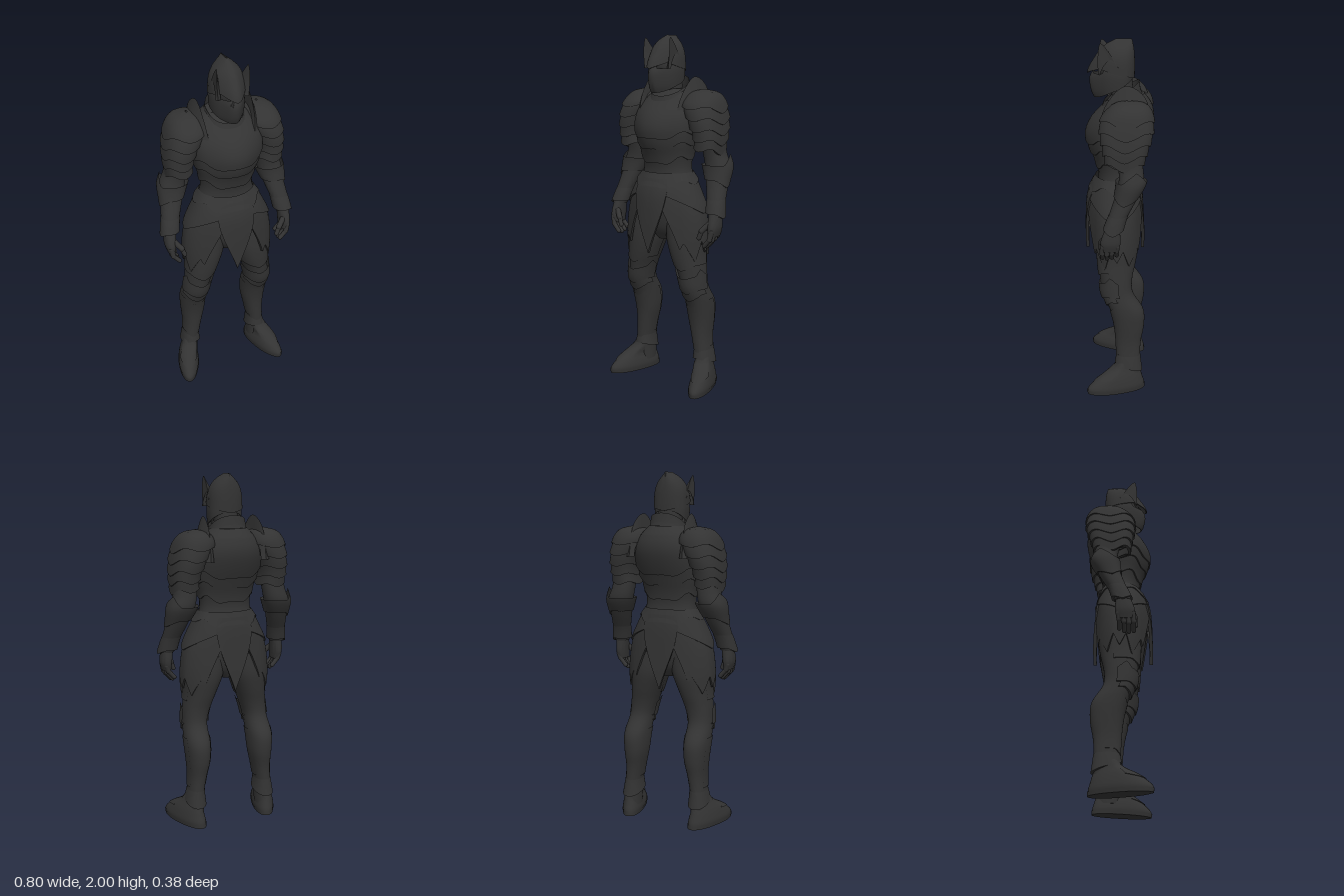
import * as THREE from 'three';
import { toCreasedNormals } from 'three/addons/utils/BufferGeometryUtils.js';

const PI = Math.PI;
const steel = new THREE.MeshStandardMaterial({ color: 0x333333, side: THREE.DoubleSide });
steel.name = 'dark steel';

// Cross-sections, bottom to top: [y, centreX, centreZ, halfWidth, frontDepth, backDepth, keel]
const TORSO = [[0.86, 0, 0, 0.05, 0.06, 0.06, 0], [0.93, 0, 0, 0.15, 0.1, 0.1, 0], [1.06, 0, 0, 0.185, 0.12, 0.12, 0],
  [1.18, 0, 0, 0.17, 0.12, 0.11, 0], [1.27, 0, 0, 0.148, 0.11, 0.09, 0.005], [1.34, 0, 0, 0.153, 0.12, 0.1, 0.012],
  [1.42, 0, 0, 0.175, 0.145, 0.13, 0.02], [1.5, 0, 0, 0.19, 0.155, 0.165, 0.022], [1.58, 0, -0.01, 0.19, 0.14, 0.178, 0.015],
  [1.65, 0, -0.03, 0.16, 0.11, 0.15, 0], [1.71, 0, -0.04, 0.1, 0.07, 0.1, 0]];
const SKIRT = [[0.75, 0, 0.01, 0.255, 0.14, 0.14, 0.022], [0.9, 0, 0.01, 0.262, 0.145, 0.145, 0.022], [1.05, 0, 0.01, 0.243, 0.145, 0.14, 0.022],
  [1.15, 0, 0.01, 0.202, 0.14, 0.135, 0.018], [1.25, 0, 0, 0.153, 0.12, 0.108, 0.01]];
const LEG = [[0.06, 0.22, -0.065, 0.045, 0.06, 0.065, 0], [0.2, 0.216, -0.06, 0.045, 0.065, 0.068, 0], [0.3, 0.205, -0.06, 0.05, 0.07, 0.073, 0],
  [0.4, 0.198, -0.06, 0.064, 0.08, 0.09, 0], [0.5, 0.198, -0.045, 0.07, 0.09, 0.1, 0], [0.6, 0.193, 0.003, 0.068, 0.08, 0.088, 0.005],
  [0.68, 0.18, 0.01, 0.076, 0.085, 0.09, 0.006], [0.78, 0.156, 0.01, 0.09, 0.105, 0.11, 0], [0.88, 0.136, 0, 0.108, 0.12, 0.115, 0],
  [1.0, 0.12, 0, 0.11, 0.11, 0.11, 0]];
const FOOT = [[0, 0, 0, 0.056, 0.165, 0.16, 0.012], [0.03, 0, 0, 0.062, 0.165, 0.16, 0.015], [0.065, 0, 0, 0.058, 0.135, 0.15, 0.01],
  [0.1, 0, 0, 0.05, 0.085, 0.14, 0.01], [0.14, -0.01, -0.025, 0.046, 0.05, 0.105, 0], [0.18, -0.015, -0.045, 0.042, 0.04, 0.075, 0]];
const ARM = [[1.03, 0.347, 0.025, 0.04, 0.042, 0.042, 0], [1.1, 0.333, 0.003, 0.049, 0.048, 0.05, 0], [1.2, 0.309, -0.04, 0.06, 0.058, 0.06, 0],
  [1.29, 0.291, -0.072, 0.071, 0.066, 0.066, 0], [1.36, 0.272, -0.07, 0.064, 0.066, 0.066, 0], [1.48, 0.26, -0.05, 0.065, 0.07, 0.07, 0],
  [1.62, 0.235, -0.05, 0.07, 0.08, 0.08, 0]];
const PALM = [[0.92, 0.346, 0.04, 0.022, 0.046, 0.046, 0], [0.97, 0.35, 0.036, 0.031, 0.054, 0.054, 0], [1.06, 0.343, 0.024, 0.032, 0.036, 0.036, 0]];
const PAULDRON = [[1.36, 0.262, -0.035, 0.06, 0.09, 0.09, 0], [1.45, 0.263, -0.04, 0.069, 0.112, 0.112, 0], [1.54, 0.245, -0.045, 0.084, 0.133, 0.133, 0],
  [1.62, 0.215, -0.05, 0.1, 0.132, 0.132, 0], [1.665, 0.207, -0.055, 0.09, 0.105, 0.115, 0], [1.695, 0.203, -0.06, 0.06, 0.07, 0.08, 0], [1.708, 0.2, -0.06, 0.005, 0.01, 0.01, 0]];
const COLLAR = [[1.58, 0, -0.03, 0.15, 0.135, 0.13, 0], [1.7, 0, -0.03, 0.104, 0.105, 0.09, 0], [1.8, 0, -0.03, 0.1, 0.1, 0.08, 0]];
const NECK = [[1.6, 0, -0.03, 0.07, 0.06, 0.06, 0], [1.82, 0, -0.01, 0.062, 0.06, 0.06, 0]];
const BOWL = [[1.76, 0, 0, 0.095, 0.13, 0.082, 0.03], [1.83, 0, 0, 0.094, 0.13, 0.085, 0.038], [1.9, 0, 0, 0.088, 0.105, 0.085, 0.026],
  [1.95, 0, 0, 0.066, 0.08, 0.081, 0.014], [1.985, 0, 0, 0.028, 0.045, 0.074, 0.002], [2.0, 0, -0.01, 0.003, 0.025, 0.06, 0]];
const MASK = [[1.68, 0, 0, 0.076, 0.1, 0.07, 0.03], [1.72, 0, 0, 0.088, 0.115, 0.074, 0.035], [1.8, 0, 0, 0.094, 0.12, 0.076, 0.038], [1.84, 0, 0, 0.09, 0.11, 0.076, 0.02],
  [1.88, 0, 0, 0.08, 0.09, 0.076, 0.01]];
const FACE = [[1.74, 0, 0, 0.06, 0.07, 0.06, 0], [1.84, 0, 0, 0.08, 0.108, 0.07, 0], [1.92, 0, 0, 0.06, 0.07, 0.06, 0]];

// Point on a body surface at height y and angle a (0 = front, PI/2 = +x)
function sample(S, y, a, off = 0) {
  const yy = THREE.MathUtils.clamp(y, S[0][0], S.at(-1)[0]);
  let i = 0;
  while (i < S.length - 2 && yy > S[i + 1][0]) i++;
  const A = S[i], B = S[i + 1], P = S[Math.max(i - 1, 0)], Q = S[Math.min(i + 2, S.length - 1)];
  const h = B[0] - A[0], t = (yy - A[0]) / h, t2 = t * t, t3 = t2 * t;
  const [cx, cz, rx, zf, zb, keel] = [1, 2, 3, 4, 5, 6].map(k =>
    (2 * t3 - 3 * t2 + 1) * A[k] + (3 * t2 - 2 * t3) * B[k] +
    h * ((t3 - 2 * t2 + t) * (B[k] - P[k]) / (B[0] - P[0]) + (t3 - t2) * (Q[k] - A[k]) / (Q[0] - A[0])));
  const e = v => Math.sign(v) * Math.abs(v) ** 0.9, c = Math.cos(a);
  return [cx + (rx + off) * e(Math.sin(a)), y, cz + ((c > 0 ? zf : zb) + off) * e(c) + keel * Math.max(0, c) ** 8];
}

// Smooth grid surface from fn(u, v, row)
function grid(nu, nv, fn) {
  const pos = [], idx = [];
  for (let j = 0; j <= nv; j++) for (let i = 0; i <= nu; i++) pos.push(...fn(i / nu, j / nv, j));
  for (let j = 0; j < nv; j++) for (let i = 0; i < nu; i++) {
    const p = j * (nu + 1) + i, q = p + nu + 1;
    idx.push(p, q, p + 1, p + 1, q, q + 1);
  }
  const g = new THREE.BufferGeometry();
  g.setAttribute('position', new THREE.Float32BufferAttribute(pos, 3));
  g.setIndex(idx);
  return toCreasedNormals(g, 0.75);
}

function add(parent, name, geometry) {
  const m = new THREE.Mesh(geometry, steel);
  m.name = name;
  parent.add(m);
  return m;
}

// Closed body through all sections of S
function loft(parent, name, S, rows = 30) {
  const lo = S[0][0], hi = S.at(-1)[0];
  return add(parent, name, grid(36, rows + 2, (u, v, j) => {
    const y = hi + (lo - hi) * THREE.MathUtils.clamp((j - 1) / rows, 0, 1);
    if (j > 0 && j < rows + 2) return sample(S, y, u * 2 * PI);
    const f = sample(S, y, 0), b = sample(S, y, PI);
    return [f[0], y, (f[2] + b[2]) / 2];
  }));
}

// Armour plate over S between two angles, edges given as functions of angle, with a turned-in lower rim
function plate(parent, name, S, a0, a1, top, bottom, o0 = 0.002, o1 = 0.014, nu = 40) {
  const T = typeof top === 'function' ? top : () => top, B = typeof bottom === 'function' ? bottom : () => bottom;
  const n = 8;
  return add(parent, name, grid(nu, n + 1, (u, v, j) => {
    const a = a0 + (a1 - a0) * u, t = Math.min(j / n, 1), y = T(a) + (B(a) - T(a)) * t;
    return sample(S, y, a, j > n ? -0.004 : o0 + (o1 - o0) * t);
  }));
}

// Straight interpolation through [angle, height] points
const edge = pts => a => {
  let i = 0;
  while (i < pts.length - 2 && a > pts[i + 1][0]) i++;
  return THREE.MathUtils.mapLinear(a, pts[i][0], pts[i + 1][0], pts[i][1], pts[i + 1][1]);
};
const tip = (a, centre, half) => Math.max(0, 1 - Math.abs(a - centre) / half);

// Wedge rising from a root curve to a sharp ridge curve
function blade(parent, name, root, ridge, w) {
  const curve = pts => new THREE.CatmullRomCurve3(pts.map(p => new THREE.Vector3(...p)));
  const R = curve(root), E = curve(ridge);
  add(parent, name, grid(24, 2, (u, v, j) => {
    const p = (j === 1 ? E : R).getPoint(u);
    return [p.x + (j - 1) * w, p.y, p.z];
  }));
}

function bone(parent, name, p, q, r) {
  const a = new THREE.Vector3(...p), b = new THREE.Vector3(...q), d = b.clone().sub(a);
  const m = add(parent, name, new THREE.CapsuleGeometry(r, d.length(), 4, 10));
  m.position.copy(a).add(b).multiplyScalar(0.5);
  m.quaternion.setFromUnitVectors(new THREE.Vector3(0, 1, 0), d.normalize());
}

function buildSide() {
  const s = new THREE.Group();
  // Leg armour
  loft(s, 'leg', LEG, 40);
  plate(s, 'thighPlate', LEG, -1.6, 1.9, 0.9, a => 0.74 - 0.035 * tip(a, 0, 1), 0.002, 0.007);
  plate(s, 'kneeCop', LEG, -1.7, 1.7, a => 0.68 - 0.02 * tip(a, 0, 0.8) + 0.04 * tip(Math.abs(a), 1.3, 0.4), a => 0.6 - 0.03 * tip(a, 0, 1), 0.011, 0.014);
  plate(s, 'kneeLame', LEG, -1.5, 1.5, 0.62, a => 0.57 - 0.05 * tip(a, 0, 1.1), 0.004, 0.011);
  plate(s, 'greave', LEG, -1.9, 1.9, a => 0.53 - 0.05 * tip(a, 0, 1), a => 0.24 - 0.04 * tip(a, 0, 1), 0.005, 0.005);
  plate(s, 'ankleGuard', LEG, 0, 2 * PI, 0.22, a => 0.145 + 0.025 * Math.cos(a), 0.002, 0.014);
  // Foot
  const foot = new THREE.Group();
  foot.name = 'foot';
  foot.position.set(0.252, 0.003, 0);
  foot.rotation.y = 0.3;
  loft(foot, 'boot', FOOT, 20);
  plate(foot, 'instepPlate', FOOT, -1.1, 1.1, 0.15, a => 0.07 + 0.02 * Math.abs(a), 0.003, 0.007);
  plate(foot, 'sole', FOOT, 0, 2 * PI, 0.022, 0, 0.003, 0.004);
  s.add(foot);
  // Arm and hand
  loft(s, 'arm', ARM, 36);
  plate(s, 'elbowGuard', ARM, 0, 2 * PI, a => 1.3 + 0.06 * tip(a, 1.9, 0.9), a => 1.22 - 0.04 * tip(a, 1.6, 1.2), 0.018, 0.008);
  plate(s, 'wristCuff', ARM, 0, 2 * PI, 1.12, a => 1.045 - 0.025 * tip(a, 1.6, 1), 0.001, 0.013);
  loft(s, 'palm', PALM, 14);
  for (let i = 0; i < 4; i++) {
    const z = 0.078 - 0.026 * i, drop = [0.005, 0, 0.006, 0.02][i];
    bone(s, 'fingerBase', [0.356, 0.95, z], [0.346, 0.9 + drop, z + 0.004], 0.0145);
    bone(s, 'fingerTip', [0.346, 0.9 + drop, z + 0.004], [0.312, 0.862 + drop, z + 0.004], 0.0125);
  }
  bone(s, 'thumbBase', [0.333, 0.99, 0.065], [0.298, 0.95, 0.088], 0.016);
  bone(s, 'thumbTip', [0.298, 0.95, 0.088], [0.283, 0.91, 0.092], 0.013);
  // Shoulder armour
  const scallop = b => a => b - 0.022 * tip(a, PI / 2, 0.6) - 0.008 * Math.cos(4 * a);
  plate(s, 'shoulderDome', PAULDRON, 0, 2 * PI, 1.708, scallop(1.61), 0, 0.012, 48);
  [[1.635, 1.55], [1.57, 1.49], [1.51, 1.435], [1.45, 1.385]].forEach(([t, b]) =>
    plate(s, 'shoulderLame', PAULDRON, 0, 2 * PI, t, scallop(b), 0, 0.013, 48));
  blade(s, 'shoulderFin', [[0.125, 1.54, 0.1], [0.15, 1.62, 0.04], [0.165, 1.66, -0.06], [0.165, 1.62, -0.14], [0.165, 1.54, -0.17]],
    [[0.125, 1.54, 0.11], [0.14, 1.68, 0.06], [0.15, 1.775, -0.04], [0.16, 1.72, -0.14], [0.165, 1.54, -0.185]], 0.024);
  // Hip plates with jagged hems
  plate(s, 'tasset', SKIRT, 0.2, 2.94, 1.2, edge([[0.2, 1.12], [0.7, 0.83], [0.8, 0.87], [1.18, 0.76], [1.4, 0.88], [1.6, 0.81],
    [1.8, 0.88], [2.05, 0.78], [2.4, 0.88], [2.5, 0.85], [2.94, 1.1]]), 0, 0.007, 96);
  plate(s, 'hipPlate', SKIRT, 0.4, 2.74, a => 1.24 - 0.04 * Math.abs(a - 1.57), a => 1.03 + 0.09 * Math.abs(a - 1.57), 0.004, 0.012);
  // Helmet horn
  blade(s, 'helmetHorn', [[0.08, 1.82, 0.1], [0.076, 1.87, 0.075], [0.074, 1.9, 0.04], [0.082, 1.86, 0.0]],
    [[0.084, 1.82, 0.108], [0.09, 1.92, 0.108], [0.086, 1.985, 0.094], [0.09, 1.86, -0.005]], 0.014);
  return s;
}

export function createModel() {
  const g = new THREE.Group();
  g.name = 'armouredKnight';
  // Torso with chevron plates on chest and back
  loft(g, 'torso', TORSO, 44);
  const chevron = (y, d) => a => y - d * (tip(a, 0, 0.9) + tip(Math.abs(a), PI, 0.9)) + 0.012 * Math.cos(6 * a);
  plate(g, 'breastplate', TORSO, -PI, PI, 1.66, chevron(1.47, 0.04), 0.001, 0.012, 80);
  plate(g, 'ribLame', TORSO, -PI, PI, 1.5, chevron(1.41, 0.04), 0, 0.009, 80);
  plate(g, 'waistLame', TORSO, -PI, PI, 1.42, chevron(1.33, 0.04), 0, 0.008, 80);
  plate(g, 'belt', SKIRT, -PI, PI, 1.25, chevron(1.2, 0.035), 0.001, 0.012, 80);
  // Pointed centre plates, front and back
  for (const c of [0, PI])
    plate(g, c ? 'backTail' : 'frontTail', SKIRT, c - 0.5, c + 0.5, 1.22, a => 0.8 + 0.36 * (Math.abs(a - c) / 0.5) ** 0.85, 0.008, 0.014);
  // Neck and collar
  loft(g, 'neck', NECK, 6);
  const rim = d => a => 1.725 - 0.055 * Math.cos(a) - d;
  plate(g, 'collar', COLLAR, 0, 2 * PI, rim(0), rim(0.075), 0, 0.006);
  plate(g, 'lowerCollar', COLLAR, 0, 2 * PI, rim(0.05), rim(0.11), 0.006, 0.014);
  // Helmet: bowl with pointed brow, face mask, recessed eye slits
  loft(g, 'face', FACE, 10);
  plate(g, 'helmetBowl', BOWL, -PI, PI, 2.0, edge([[-PI, 1.79], [-1.6, 1.82], [-0.75, 1.85], [0, 1.818], [0.75, 1.85], [1.6, 1.82], [PI, 1.79]]), 0, 0.002, 72);
  plate(g, 'faceMask', MASK, -PI, PI, a => 1.86 - 0.04 * Math.min(1, 3 * tip(Math.abs(a), 0.5, 0.4)), a => 1.74 - 0.052 * Math.cos(a), 0, 0, 72);
  for (const x of [-0.016, 0.016]) bone(g, 'visorRib', [x, 1.715, 0.138], [x, 1.8, 0.145], 0.005);
  // Mirrored limbs and plates
  for (const m of [1, -1]) {
    const s = buildSide();
    s.name = m > 0 ? 'leftSide' : 'rightSide';
    s.scale.x = m;
    g.add(s);
  }
  return g;
}
